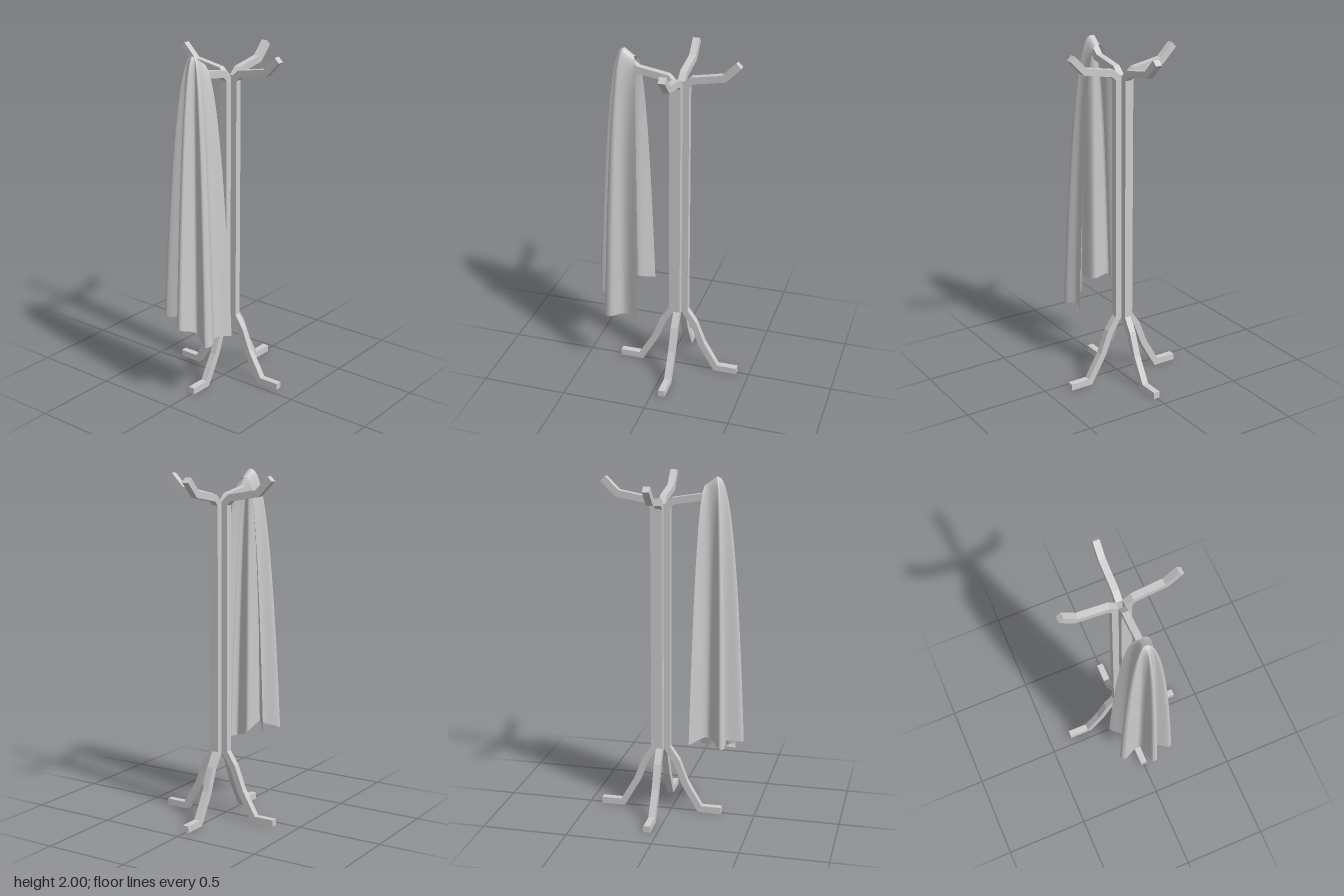
import * as THREE from 'three';
import { ParametricGeometry } from 'three/addons/geometries/ParametricGeometry.js';
import { mergeVertices } from 'three/addons/utils/BufferGeometryUtils.js';

const CENTRE_X = 0.061;
const BAR = 0.039;

// Outline of a bent bar: the centre line offset to both sides with mitred corners
function barShape(points, width) {
  const pts = points.map(([x, y]) => new THREE.Vector2(x, y));
  const normal = (a, b) => new THREE.Vector2(a.y - b.y, b.x - a.x).normalize();
  const left = [], right = [];
  pts.forEach((p, i) => {
    const n0 = normal(pts[Math.max(i - 1, 0)], pts[Math.max(i, 1)]);
    const last = pts.length - 1;
    const n1 = normal(pts[Math.min(i, last - 1)], pts[Math.min(i + 1, last)]);
    const m = n0.clone().add(n1).normalize();
    m.multiplyScalar(width / 2 / m.dot(n0));
    left.push(p.clone().add(m));
    right.unshift(p.clone().sub(m));
  });
  return new THREE.Shape([...left, ...right]);
}

// One square bar forms a foot, a leg, a quarter of the post and a hook
function barGeometry() {
  const path = [
    [0.364, 0.02], [0.235, 0.02], [0.145, 0.175], [0.093, 0.31], [0.038, 0.392],
    [0.038, 1.825], [0.073, 1.858], [0.25, 1.889], [0.33, 1.97],
  ];
  const geo = new THREE.ExtrudeGeometry(barShape(path, BAR), { depth: BAR, bevelEnabled: false });
  return geo.translate(0, 0, -BAR / 2);
}

// Draped cloth: a folded hem drawn up to a peak, open towards the post
function clothGeometry() {
  const hem = new THREE.CatmullRomCurve3([
    [-0.14, 0.365, 0.17], [-0.24, 0.378, 0.13], [-0.32, 0.365, 0.166], [-0.356, 0.365, 0.148],
    [-0.317, 0.41, 0.052], [-0.424, 0.46, 0.027], [-0.424, 0.465, 0], [-0.312, 0.475, -0.043],
    [-0.346, 0.47, -0.152], [-0.322, 0.47, -0.172], [-0.235, 0.51, -0.1], [-0.14, 0.48, -0.166],
  ].map((p) => new THREE.Vector3(...p)), false, 'centripetal');
  const peak = new THREE.Vector3(-0.255, 2, 0);
  const mouth = new THREE.Vector3(-0.2, 1.957, 0);
  const top = new THREE.Vector3(), low = new THREE.Vector3();

  const surface = (u, v, target) => {
    hem.getPoint(u, low);
    const edge = THREE.MathUtils.smoothstep(Math.abs(u - 0.5) * 2, 0.72, 1);
    top.lerpVectors(peak, mouth, edge);
    // Folds soften into a round shoulder near the peak
    const dx = low.x - peak.x, dz = low.z;
    const soft = (1 - v) ** 2 * (1 - edge);
    const k = THREE.MathUtils.lerp(1, 0.165 / Math.hypot(dx, dz), soft);
    target.set(
      top.x + (peak.x + dx * k - top.x) * v,
      THREE.MathUtils.lerp(top.y, low.y, v ** 2.6),
      dz * k * v,
    );
  };
  let geo = new ParametricGeometry(surface, 110, 48);
  geo.deleteAttribute('normal');
  geo.deleteAttribute('uv');
  geo = mergeVertices(geo, 1e-5);
  geo.computeVertexNormals();
  return geo;
}

export function createModel() {
  const model = new THREE.Group();
  model.name = 'coatStand';
  const material = new THREE.MeshStandardMaterial({ color: 0xcccccc });

  // Four identical bars around the post axis
  const stand = new THREE.Group();
  stand.name = 'stand';
  stand.position.x = CENTRE_X;
  const geo = barGeometry();
  for (let i = 0; i < 4; i++) {
    const bar = new THREE.Mesh(geo, material);
    bar.name = `bentBar${i + 1}`;
    bar.rotation.y = (i * Math.PI) / 2;
    stand.add(bar);
  }
  model.add(stand);

  // Cloth hanging from the hook on the right
  const cloth = new THREE.Mesh(
    clothGeometry(),
    new THREE.MeshStandardMaterial({ color: 0xcccccc, side: THREE.DoubleSide }),
  );
  cloth.name = 'hangingCloth';
  model.add(cloth);
  return model;
}
